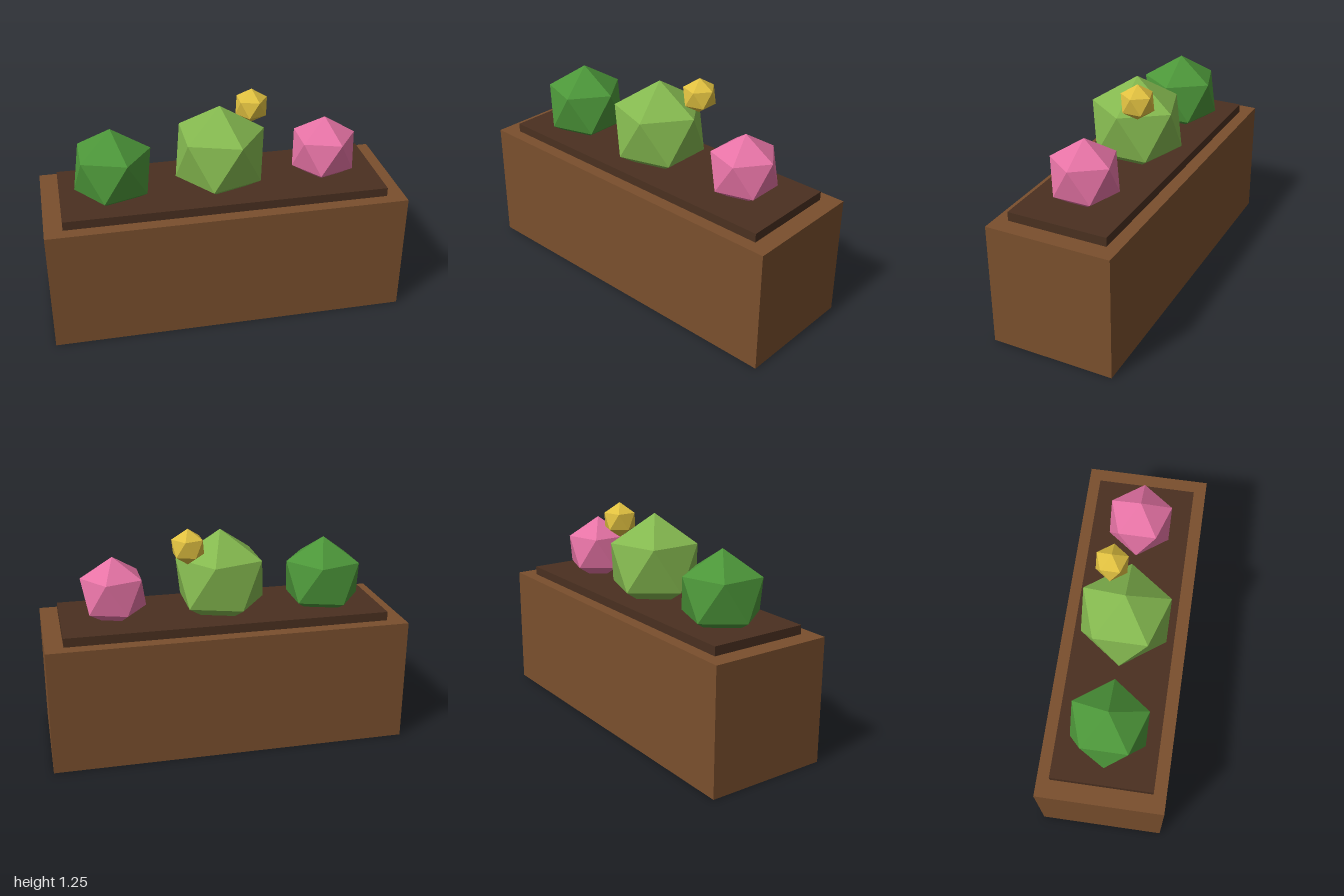
import * as THREE from 'three';

function part(name, geometry, color, x, y, z = 0) {
  const material = new THREE.MeshStandardMaterial({ color, flatShading: true });
  const mesh = new THREE.Mesh(geometry, material);
  mesh.name = name;
  mesh.position.set(x, y, z);
  return mesh;
}

// Icosahedron standing on a vertex, with one upper ring corner towards +x
function pointedBall(radius) {
  const golden = (1 + Math.sqrt(5)) / 2;
  return new THREE.IcosahedronGeometry(radius, 0).rotateZ(-Math.atan(1 / golden));
}

export function createModel() {
  const model = new THREE.Group();
  model.name = 'planter';

  // Wooden box and the raised soil bed on it
  model.add(part('planterBox', new THREE.BoxGeometry(2, 0.7, 0.7), 0x7a4f2d, 0, 0.35));
  model.add(part('soil', new THREE.BoxGeometry(1.8, 0.05, 0.56), 0x4a3020, 0, 0.725));

  // Plants: name, radius, colour, position
  const plants = [
    ['darkBush', 0.24, 0x4c9639, -0.6, 0.89, 0],
    ['lightBush', 0.28, 0x84b84f, 0, 0.93, 0],
    ['pinkBush', 0.2, 0xe673a5, 0.6, 0.89, 0],
    ['yellowFlower', 0.1, 0xe0c040, 0.2, 1.15, -0.1],
  ];
  for (const [name, radius, color, x, y, z] of plants) {
    model.add(part(name, pointedBall(radius), color, x, y, z));
  }
  return model;
}
